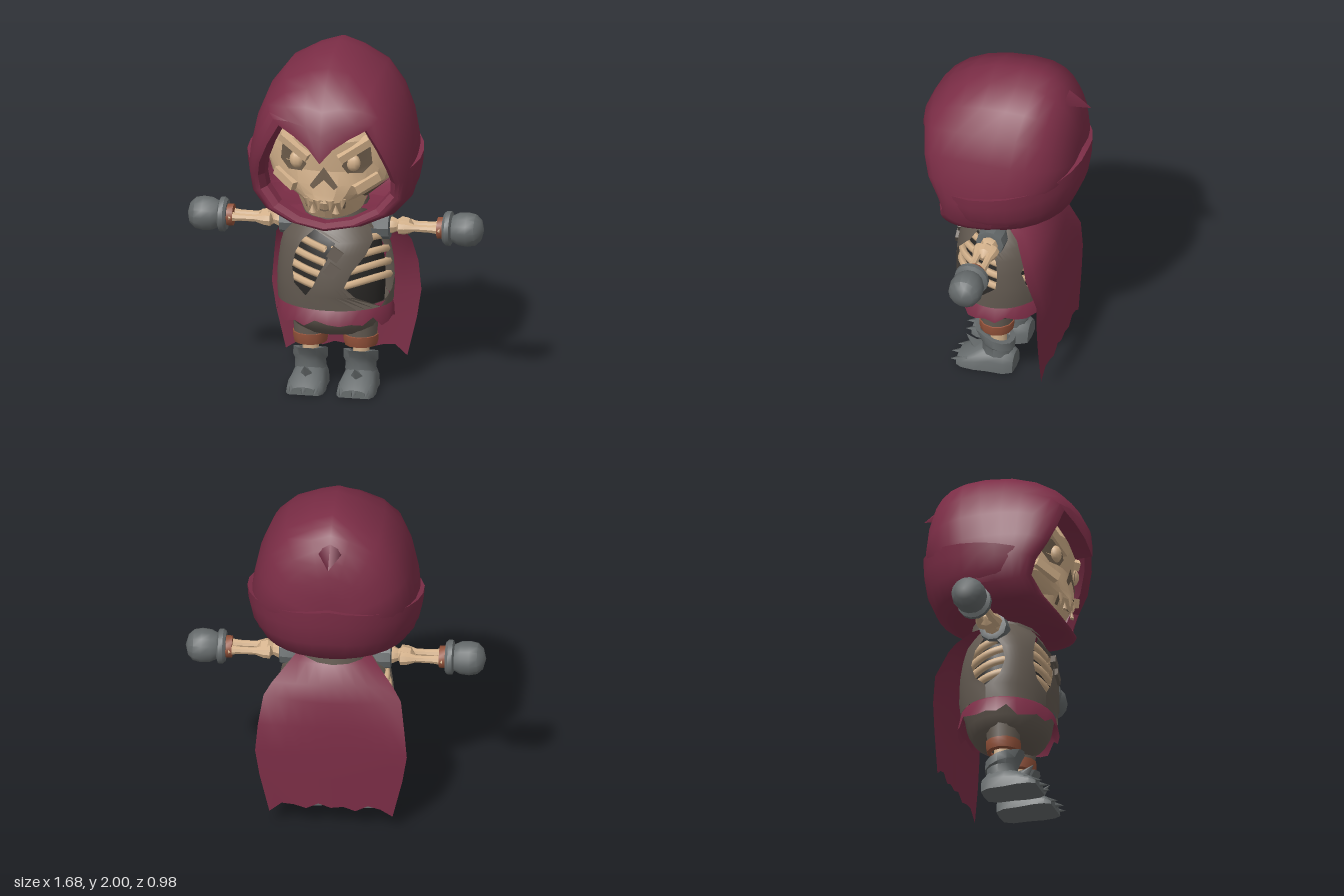
import * as THREE from 'three';
import { toCreasedNormals } from 'three/addons/utils/BufferGeometryUtils.js';

const RAD = Math.PI / 180;

export function createModel() {
  const model = new THREE.Group();
  const mat = (name, color) => new THREE.MeshStandardMaterial({ name, color, side: THREE.DoubleSide });
  const crimson = mat('crimson cloth', 0x7b2d46);
  const tunicMat = mat('brown tunic', 0x635a51);
  const bone = mat('bone', 0xd2b08a);
  const shadowBone = mat('dark bone', 0x6e5d4b);
  const dark = mat('dark hollow', 0x2b2927);
  const iron = mat('grey iron', 0x666b6c);
  const leather = mat('leather strap', 0x93523a);

  const add = (name, geo, material, pos = [0, 0, 0], rot = [0, 0, 0], scale = [1, 1, 1]) => {
    const m = new THREE.Mesh(geo, material);
    m.name = name;
    m.position.set(...pos);
    m.rotation.set(...rot);
    m.scale.set(...scale);
    model.add(m);
    return m;
  };
  // surface through rows of points; crease is the angle above which edges stay sharp
  const grid = (rows, crease = 0.7) => {
    const n = rows[0].length, index = [];
    for (let j = 0; j < rows.length - 1; j++) for (let i = 0; i < n - 1; i++) {
      const a = j * n + i, b = a + n;
      index.push(a, b, a + 1, b, b + 1, a + 1);
    }
    const g = new THREE.BufferGeometry();
    g.setAttribute('position', new THREE.Float32BufferAttribute(rows.flat(2), 3));
    g.setIndex(index);
    g.computeVertexNormals();
    return toCreasedNormals(g, crease);
  };
  // interpolate a table whose first column rises
  const sample = (table, v) => {
    let k = 0;
    while (k < table.length - 2 && v > table[k + 1][0]) k++;
    const t = Math.min(1, Math.max(0, (v - table[k][0]) / (table[k + 1][0] - table[k][0])));
    return table[k].map((a, i) => a + (table[k + 1][i] - a) * t);
  };
  const steps = (n, f) => Array.from({ length: n + 1 }, (_, i) => f(i / n, i));

  // ---- hood: columns run from the face opening over the side to the back
  const half = [ // opening x, y, z, widest outline x, y, z
    [0, 1.46, 0.485, 0, 2.0, -0.1], [0.07, 1.54, 0.465, 0.12, 1.96, -0.1],
    [0.16, 1.6, 0.435, 0.27, 1.88, -0.08], [0.25, 1.645, 0.40, 0.37, 1.75, -0.05],
    [0.32, 1.52, 0.38, 0.43, 1.6, -0.03], [0.37, 1.4, 0.34, 0.46, 1.45, 0],
    [0.39, 1.3, 0.28, 0.475, 1.32, 0.02], [0.38, 1.21, 0.25, 0.45, 1.17, 0.06],
    [0.3, 1.12, 0.29, 0.37, 1.09, 0.12], [0.16, 1.06, 0.34, 0.22, 1.04, 0.2],
    [0, 1.035, 0.36, 0, 1.01, 0.3]];
  const cols = half.map((p, i) => [...p, i]).concat(
    half.slice(0, -1).reverse().map((p, i) => [-p[0], p[1], p[2], -p[3], p[4], p[5], 9 - i]));
  const hoodRows = [];
  for (let k = 0; k <= 6; k++) hoodRows.push(cols.map(([ox, oy, oz, sx, sy, sz]) => {
    const a = k / 6 * Math.PI / 2, s = Math.sin(a) ** 0.95, c = Math.cos(a) ** 0.95;
    return [ox + (sx - ox) * s, oy + (sy - oy) * s, sz + (oz - sz) * c];
  }));
  for (let k = 1; k <= 8; k++) hoodRows.push(cols.map(([, , , sx, sy, sz, i]) => {
    const a = k / 8 * Math.PI / 2, e = i < 6 ? 0.75 : 0.95;
    const c = Math.max(0, Math.cos(a)) ** e, s = Math.sin(a) ** e;
    return [sx * c, 1.45 + (sy - 1.45) * c, sz + (-0.445 - sz) * s];
  }));
  add('hood', grid(hoodRows), crimson);
  // turned-in rim of the opening
  const rim = [[1, 0], [0.92, -0.035], [0.9, -0.1]].map(([f, dz]) =>
    cols.map(([x, y, z]) => [x * f, 1.35 + (y - 1.35) * (y > 1.35 ? 0.97 : 0.93), z + dz]));
  rim[0] = hoodRows[0];
  add('hoodRim', grid(rim, 0.3), crimson);
  add('hoodTip', new THREE.ConeGeometry(0.075, 0.15, 4), crimson, [0, 1.825, -0.425], [-1.83, 0, 0], [1, 1, 0.8]);

  // cowl wrapped round the lower back of the hood
  const cowl = [[0.44, 0, 0], [0.5, 0, 0.01], [0.495, 0.2, 0], [0.475, 0.5, 0], [0.425, 0.78, 0], [0.32, 0.95, 0], [0.12, 1, 0]];
  add('hoodCowl', grid(cowl.map(([r, d, lift]) => steps(20, (t) => {
    const a = (58 + 244 * t) * RAD, s = 1 - Math.abs(2 * t - 1), top = 1.34 + 0.17 * s;
    const rr = r - 0.015 * (1 - Math.min(1, s * 5)) - 0.02 * s;
    return [rr * Math.sin(a), top + lift + (1.08 - top) * d, rr * Math.cos(a)];
  })), 0.8), crimson);

  // ---- skull
  add('cranium', new THREE.SphereGeometry(1, 18, 12), bone, [0, 1.43, 0], [0, 0, 0], [0.37, 0.28, 0.33]);
  const faceTable = [ // height, half width, front
    [1.085, 0.165, 0.31], [1.15, 0.19, 0.35], [1.19, 0.2, 0.375], [1.23, 0.27, 0.365], [1.29, 0.345, 0.36],
    [1.37, 0.37, 0.345], [1.46, 0.36, 0.36], [1.55, 0.33, 0.37], [1.66, 0.26, 0.32]];
  add('face', grid(faceTable.map(([y, w, f]) => steps(14, (t) => {
    const a = (t - 0.5) * Math.PI;
    return [w * Math.sin(a), y, 0.05 + (f - 0.05) * Math.cos(a)];
  })), 0.25), bone);
  const faceZ = (x, y) => {
    const [, w, f] = sample(faceTable, y);
    return 0.05 + (f - 0.05) * Math.sqrt(Math.max(0, 1 - (x / w) ** 2));
  };
  const facePlate = (name, pts, material, off = 0.008) => {
    const g = new THREE.ShapeGeometry(new THREE.Shape(pts.map(([x, y]) => new THREE.Vector2(x, y))));
    const p = g.attributes.position;
    for (let i = 0; i < p.count; i++) p.setZ(i, faceZ(p.getX(i), p.getY(i)) + off);
    g.computeVertexNormals();
    add(name, g, material);
  };
  facePlate('noseHole', [[0, 1.4], [-0.08, 1.29], [-0.06, 1.27], [0, 1.325], [0.06, 1.27], [0.08, 1.29]], shadowBone);
  facePlate('mouthGap', [[-0.12, 1.195], [-0.11, 1.145], [0, 1.135], [0.11, 1.145], [0.12, 1.195], [0, 1.205]], shadowBone);
  for (const s of [-1, 1]) {
    const side = s > 0 ? 'left' : 'right';
    const mir = (pts) => pts.map(([x, y]) => [x * s, y]);
    facePlate(side + 'EyeSocket', mir([[0.1, 1.41], [0.13, 1.46], [0.19, 1.5], [0.25, 1.51], [0.26, 1.41], [0.21, 1.36], [0.13, 1.365]]), shadowBone);
    facePlate(side + 'CheekHollow', mir([[0.19, 1.2], [0.25, 1.225], [0.33, 1.265], [0.27, 1.215], [0.19, 1.155]]), shadowBone);
    add(side + 'Eye', new THREE.SphereGeometry(0.042, 10, 8), bone, [s * 0.16, 1.425, faceZ(0.16, 1.425) - 0.002], [0, 0, 0], [1, 1.2, 0.8]);
    add(side + 'Brow', new THREE.BoxGeometry(0.2, 0.045, 0.06), bone, [s * 0.165, 1.505, 0.325], [0.2, s * 0.45, s * 0.45]);
    add(side + 'Cheekbone', new THREE.BoxGeometry(0.16, 0.05, 0.04), bone, [s * 0.23, 1.3, 0.29], [0, s * 0.65, s * 0.4]);
    for (const x of [0.033, 0.095])
      add(side + 'UpperTooth', new THREE.ConeGeometry(0.03, 0.065, 4), bone, [s * x, 1.175, faceZ(x, 1.175) + 0.004], [Math.PI, 0, 0], [1, 1, 0.6]);
    add(side + 'LowerTooth', new THREE.ConeGeometry(0.022, 0.05, 4), bone, [s * 0.066, 1.15, 0.345], [0, 0, 0], [1, 1, 0.6]);
  }

  // ---- torso: tunic with torn holes over dark core and ribs
  const torso = [[0.52, 0.325, 0.265], [0.6, 0.33, 0.275], [0.66, 0.33, 0.275], [0.75, 0.325, 0.27], [0.84, 0.31, 0.255],
    [0.91, 0.29, 0.235], [0.97, 0.25, 0.195], [1.03, 0.19, 0.15]];
  const onTorso = (deg, y, inset = 0) => {
    const [, rx, rz] = sample(torso, y);
    return [(rx - inset) * Math.sin(deg * RAD), y, (rz - inset) * Math.cos(deg * RAD)];
  };
  const shut = [[-98, -98], [-20, -20], [60, 60], [140, 140]];
  const holes = [shut,
    [[-98, -98], [-22, -22], [28, 82], [140, 140]],
    [[-112, -80], [-36, -14], [17, 98], [134, 148]],
    [[-120, -74], [-40, -7], [25, 100], [128, 150]],
    [[-116, -78], [-38, 2], [42, 98], [140, 140]],
    [[-104, -90], [-32, 8], [55, 84], [140, 140]],
    shut, shut];
  for (let k = 0; k <= 4; k++) {
    add('tunicPanel', grid(torso.map(([y], j) => {
      const a = k ? holes[j][k - 1][1] : -180, b = k < 4 ? holes[j][k][0] : 180;
      return steps(8, (t) => onTorso(a + (b - a) * t, y));
    }), 0.6), tunicMat);
  }
  add('darkCore', grid(torso.map(([y]) => steps(24, (t) => onTorso(t * 360, y, 0.05)))), dark);
  for (let i = 0; i < 4; i++) for (const s of [-1, 1]) {
    const path = new THREE.CatmullRomCurve3(steps(8, (t) =>
      new THREE.Vector3(...onTorso(s * (4 + 151 * t), 0.64 + i * 0.075 + 0.05 * Math.sin(t * Math.PI * 1.4), 0.03))));
    add('rib', new THREE.TubeGeometry(path, 20, 0.021, 6), bone);
  }
  for (const [deg, y] of [[8, 0.85], [5, 0.76]])
    add('chestPatch', new THREE.BoxGeometry(0.07, 0.07, 0.03), tunicMat, onTorso(deg, y, 0), [-0.1, 0.1, -0.6]);
  add('collar', new THREE.CylinderGeometry(0.18, 0.2, 0.1, 14, 1, true), tunicMat, [0, 1.06, -0.02]);
  add('neck', new THREE.CylinderGeometry(0.08, 0.08, 0.2, 8), bone, [0, 1.04, 0]);

  // hips and torn sash
  add('hips', grid([[0.54, 0.3, 0.25], [0.44, 0.26, 0.235], [0.38, 0.235, 0.2], [0.335, 0.17, 0.13], [0.33, 0, 0]].map(([y, rx, rz]) =>
    steps(20, (t) => [rx * Math.sin(t * 2 * Math.PI), y, rz * Math.cos(t * 2 * Math.PI)]))), tunicMat);
  const hem = [0.44, 0.43, 0.44, 0.43, 0.47, 0.41, 0.42, 0.44, 0.42, 0.46];
  add('sash', grid([[0.3, 0.25, 0.535], [0.315, 0.262, 0.52], [0.33, 0.28, 0]].map(([rx, rz, y]) => steps(30, (t, i) =>
    [rx * Math.sin(t * 2 * Math.PI), y || hem[i % 10], rz * Math.cos(t * 2 * Math.PI) - 0.005]))), crimson);

  // ---- cape
  const cape = [[1.06, 0.18, -0.1], [1.0, 0.25, -0.19], [0.9, 0.34, -0.255], [0.8, 0.385, -0.285], [0.65, 0.41, -0.305],
    [0.48, 0.425, -0.312], [0.32, 0.4, -0.312], [0.13, 0.345, -0.312]];
  const tatter = [-0.045, 0, 0.02, -0.015, 0.01, 0, 0.025, -0.01, 0.01, 0.015, -0.045];
  add('cape', grid(cape.map(([y, w, z], j) => steps(10, (t, i) => {
    const u = 2 * t - 1;
    return [w * u, y + (j === 7 ? tatter[i] : -0.03 * u * u * (j < 3)), z + 0.05 * u * u * (j < 4) - 0.01 * (1 - u * u)];
  }))), crimson);

  // ---- arms and legs
  const lathe = (pts, n = 12) => toCreasedNormals(new THREE.LatheGeometry(pts.map(([r, y]) => new THREE.Vector2(r, y)), n), 0.6);
  for (const s of [-1, 1]) {
    const side = s > 0 ? 'left' : 'right', along = [0, 0, -s * Math.PI / 2], Y = 0.96;
    const arm = (name, pts, material, n) => add(side + name, lathe(pts, n), material, [0, Y, 0], along);
    arm('ShoulderCap', [[0, 0.19], [0.075, 0.2], [0.085, 0.25], [0.08, 0.31], [0.05, 0.315], [0, 0.3]], iron, 10);
    arm('UpperArmBone', [[0.045, 0.29], [0.05, 0.32], [0.035, 0.35], [0.055, 0.38], [0.045, 0.42], [0, 0.45]], bone, 8);
    for (const z of [-0.034, 0.034])
      add(side + 'ForearmBone', lathe([[0, 0.35], [0.04, 0.365], [0.038, 0.4], [0.021, 0.45], [0.022, 0.54], [0.03, 0.6]], 8), bone, [0, Y, z], along);
    arm('WristStrap', [[0, 0.58], [0.062, 0.58], [0.062, 0.625], [0, 0.625]], leather);
    arm('Gauntlet', [[0, 0.615], [0.085, 0.615], [0.098, 0.63], [0.098, 0.655], [0.075, 0.665], [0.092, 0.7],
      [0.097, 0.75], [0.088, 0.795], [0.06, 0.825], [0, 0.842]], iron, 14);

    // leg
    const X = s * 0.143;
    add(side + 'Thigh', new THREE.CylinderGeometry(0.1, 0.092, 0.14, 12), tunicMat, [X, 0.355, 0.01]);
    add(side + 'KneeStrap', lathe([[0.07, 0.25], [0.093, 0.255], [0.1, 0.285], [0.1, 0.315], [0.07, 0.325]]), leather, [X, 0, 0.01]);
    add(side + 'ShinBone', new THREE.CylinderGeometry(0.045, 0.05, 0.2, 8), bone, [X, 0.18, 0]);
    // boot shaft with a slanted cuff
    const shaft = [[0.1, 0.09], [0.15, 0.088], [0.165, 0.1], [0.215, 0.098], [0.215, 0.07]].map(([y, r]) => steps(12, (t) => {
      const a = t * 2 * Math.PI, z = r * Math.cos(a);
      return [r * Math.sin(a), y + z * (y > 0.15 ? 0.32 : 0.1), z + (z > 0.05 && y > 0.2 ? 0.03 : 0)];
    }));
    add(side + 'BootShaft', grid(shaft), iron, [X, 0, 0.005]);
    const foot = [[-0.105, 0.0, 0.05], [-0.1, 0.07, 0.1], [-0.05, 0.098, 0.14], [0.04, 0.1, 0.145], [0.12, 0.11, 0.11],
      [0.19, 0.105, 0.07], [0.225, 0.085, 0.045], [0.225, 0, 0.02]];
    add(side + 'BootFoot', grid(foot.map(([z, w, h]) => steps(11, (t, i) => {
      const a = Math.min(i, 10) / 10 * Math.PI;
      return i > 10 ? [w, 0, z] : [w * Math.cos(a), h * Math.max(0, Math.sin(a)) ** 0.7, z];
    }))), iron, [X, 0, 0]);
    for (const dx of [-0.07, 0, 0.07])
      add(side + 'ToeClaw', new THREE.ConeGeometry(0.032, 0.11, 5), iron, [X + dx, 0.03, 0.222 - Math.abs(dx) * 0.2], [Math.PI / 2 + 0.18, 0, 0]);
    add(side + 'BootSpike', new THREE.ConeGeometry(0.045, 0.11, 4), iron, [X, 0.12, 0.15], [0.8, 0, 0]);
  }
  return model;
}
